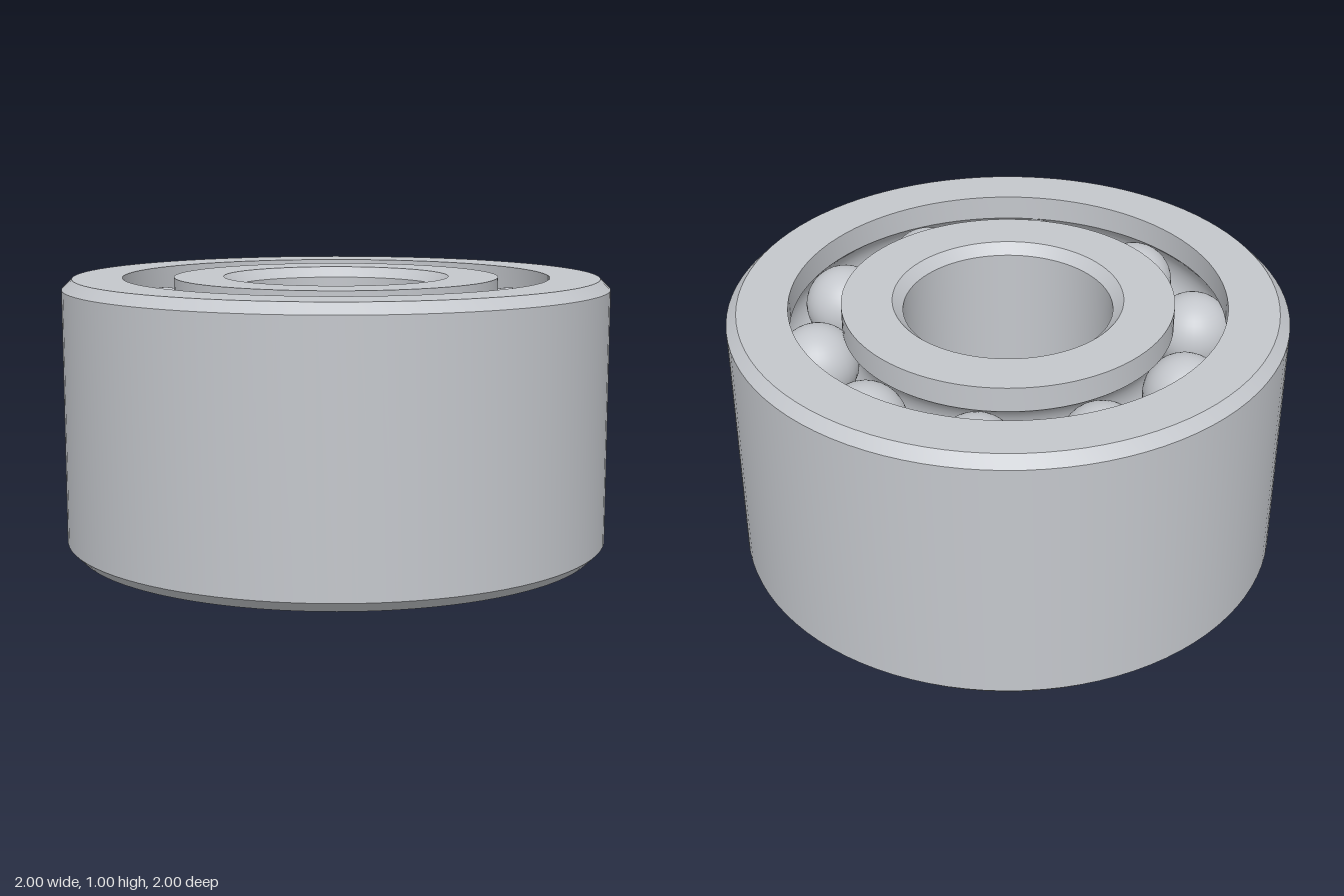
import * as THREE from 'three';
import { toCreasedNormals } from 'three/addons/utils/BufferGeometryUtils.js';

const PITCH = 0.6875;      // radius of the ball circle
const BALL = 0.147;        // ball radius
const GROOVE = 0.15;       // raceway radius
const ROWS = [0.21, 0.79]; // heights of the two ball rows
const OUTER = 0.781, INNER = 0.594; // shoulder radii
const BORE = 0.375, BEVEL = 0.0375;

// Arc of a raceway, cut outward (side 1) or inward (side -1), running up or down
function raceway(y, side, up) {
  const half = Math.acos((OUTER - PITCH) / GROOVE);
  const points = [];
  for (let i = 0; i <= 12; i++) {
    const t = (up ? 1 : -1) * half * (i / 6 - 1);
    points.push([PITCH + side * GROOVE * Math.cos(t), y + GROOVE * Math.sin(t)]);
  }
  return points;
}

// Closed profile turned round the axis, with sharp edges kept
function turnedRing(name, profile, material) {
  const points = [...profile, profile[0]].map(([r, y]) => new THREE.Vector2(r, y));
  const geometry = toCreasedNormals(new THREE.LatheGeometry(points, 96), 0.5);
  const mesh = new THREE.Mesh(geometry, material);
  mesh.name = name;
  return mesh;
}

export function createModel() {
  const model = new THREE.Group();
  model.name = 'ballBearing';
  const steel = new THREE.MeshStandardMaterial({ color: 0xc4c7cc });
  steel.name = 'steel';

  // Outer ring: bevelled outside, raceways inside
  model.add(turnedRing('outerRing', [
    [OUTER, 0], [1 - BEVEL, 0], [1, BEVEL], [1, 1 - BEVEL], [1 - BEVEL, 1], [OUTER, 1],
    ...raceway(ROWS[1], 1, false), ...raceway(ROWS[0], 1, false),
  ], steel));

  // Inner ring: raceways outside, bevelled bore
  model.add(turnedRing('innerRing', [
    [BORE + BEVEL, 0], [INNER, 0],
    ...raceway(ROWS[0], -1, true), ...raceway(ROWS[1], -1, true),
    [INNER, 1], [BORE + BEVEL, 1], [BORE, 1 - BEVEL], [BORE, BEVEL],
  ], steel));

  // Two rows of ten balls
  const ballGeometry = new THREE.SphereGeometry(BALL, 32, 24);
  ROWS.forEach((y, row) => {
    const balls = new THREE.Group();
    balls.name = row ? 'upperBalls' : 'lowerBalls';
    for (let i = 0; i < 10; i++) {
      const angle = (i / 10) * Math.PI * 2;
      const ball = new THREE.Mesh(ballGeometry, steel);
      ball.name = 'ball';
      ball.position.set(PITCH * Math.cos(angle), y, PITCH * Math.sin(angle));
      balls.add(ball);
    }
    model.add(balls);
  });
  return model;
}
